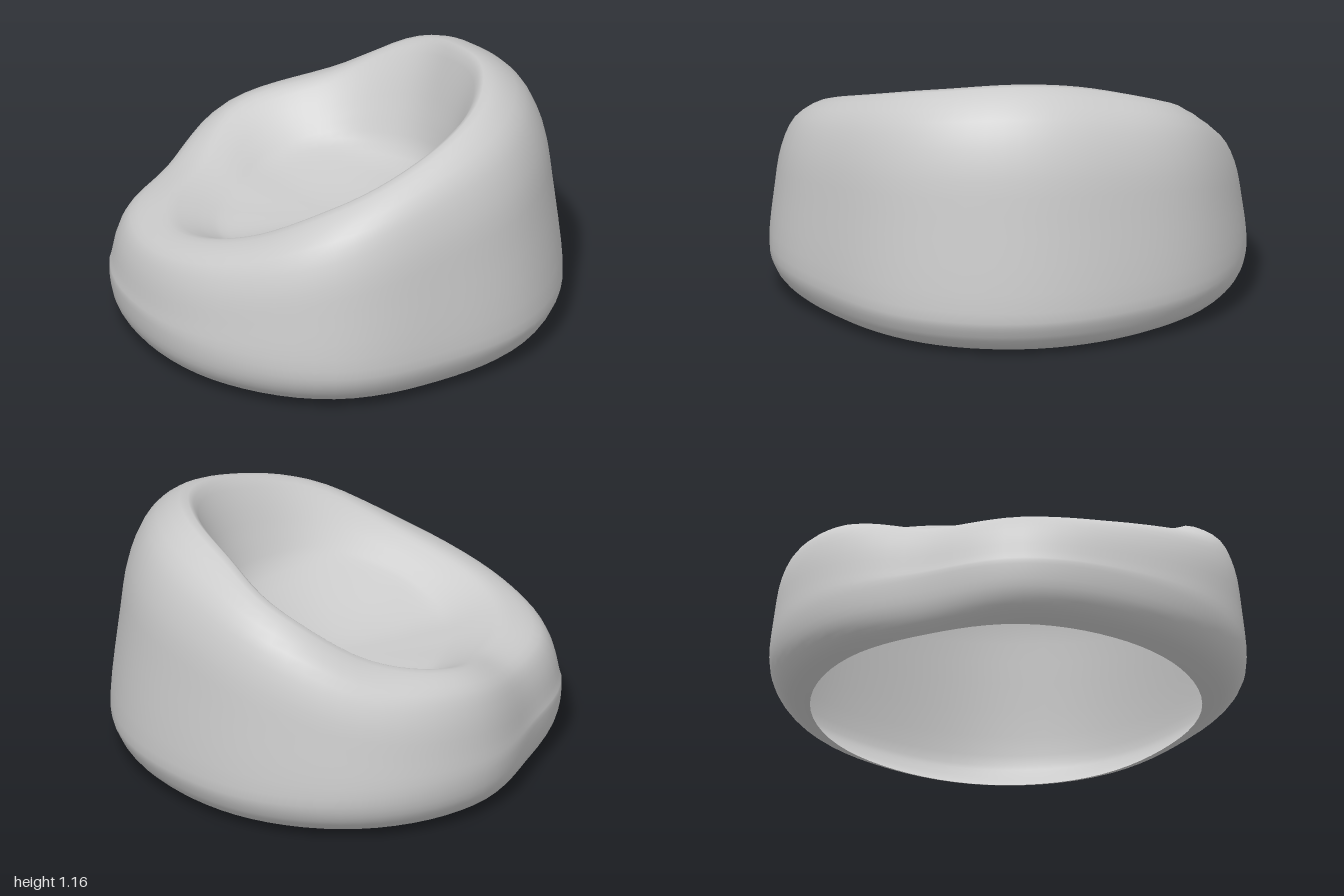
import * as THREE from 'three';

// One row every 30 degrees, from +x towards +z:
// outline radius, crest radius, crest height, seat edge radius, seat edge height
const SECTIONS = [
  [0.99, 0.66, 1.11, 0.46, 0.58],
  [1.01, 0.67, 1.165, 0.46, 0.63],
  [1.02, 0.71, 1.13, 0.46, 0.66],
  [0.995, 0.74, 1.03, 0.47, 0.65],
  [1.06, 0.80, 0.89, 0.52, 0.63],
  [1.03, 0.79, 0.69, 0.54, 0.56],
  [0.99, 0.79, 0.57, 0.51, 0.47],
  [0.975, 0.73, 0.54, 0.45, 0.47],
  [0.895, 0.67, 0.55, 0.42, 0.48],
  [0.985, 0.79, 0.655, 0.49, 0.49],
  [1.03, 0.76, 0.76, 0.52, 0.52],
  [1.02, 0.76, 0.98, 0.47, 0.54],
];
const SEAT_CENTRE = 0.46;
const SEAT_TILT = 0.08;
const AROUND = 72;
const ALONG = 44;

// Smooth closed interpolation of the section table
function sectionAt(t) {
  const n = SECTIONS.length, f = t * n, i = Math.floor(f), u = f - i;
  const row = (k) => SECTIONS[(i + k + n) % n];
  return SECTIONS[0].map((_, c) => {
    const [a, b, d, e] = [row(-1)[c], row(0)[c], row(1)[c], row(2)[c]];
    return b + 0.5 * u * (d - a + u * (2 * a - 5 * b + 4 * d - e + u * (3 * (b - d) + e - a)));
  });
}

// Section from the open base, over the crest and down to the middle of the seat
function profileAt(t) {
  const [R, rc, h, rs, ys] = sectionAt(t);
  const d = R - rc;
  const base = 0.42 + 0.42 * R;
  const lean = THREE.MathUtils.clamp((h - 0.55) / 0.6, 0, 1);
  const inner = (a, b) => [rc + (rs - rc) * a, h + (ys - h) * b];
  // Seat floor: a shallow bowl on a plane rising towards the back
  const rise = SEAT_TILT * rs * Math.cos(t * Math.PI * 2 - Math.PI / 4);
  const floor = (k) => [rs * k, SEAT_CENTRE + rise * k + (ys - SEAT_CENTRE - rise) * k * k];
  const points = [
    [base, 0], [base + (R - base) * 0.54, 0.045], [base + (R - base) * 0.88, 0.12], [R, 0.23],
    [R - (0.04 + 0.08 * lean) * d, 0.52 * h], [R - (0.16 + 0.08 * lean) * d, 0.75 * h],
    [R - (0.42 + 0.1 * lean) * d, 0.92 * h], [rc, h],
    inner(0.33, 0.22), inner(0.68, 0.66), floor(1), floor(0.6), floor(0.25), floor(0),
  ];
  return new THREE.SplineCurve(points.map(([r, y]) => new THREE.Vector2(r, y)));
}

function bagGeometry() {
  const positions = [], index = [];
  for (let j = 0; j < AROUND; j++) {
    const angle = (j / AROUND) * Math.PI * 2;
    const profile = profileAt(j / AROUND);
    for (let i = 0; i < ALONG; i++) {
      const p = profile.getPoint(i / ALONG);
      positions.push(p.x * Math.cos(angle), Math.max(0, p.y), p.x * Math.sin(angle));
    }
  }
  // Single vertex closes the middle of the seat
  const centre = AROUND * ALONG;
  positions.push(0, SEAT_CENTRE, 0);
  const id = (j, i) => (i === ALONG ? centre : (j % AROUND) * ALONG + i);
  for (let j = 0; j < AROUND; j++) {
    for (let i = 0; i < ALONG; i++) {
      index.push(id(j, i), id(j, i + 1), id(j + 1, i));
      if (i < ALONG - 1) index.push(id(j, i + 1), id(j + 1, i + 1), id(j + 1, i));
    }
  }
  const geometry = new THREE.BufferGeometry();
  geometry.setAttribute('position', new THREE.Float32BufferAttribute(positions, 3));
  geometry.setIndex(index);
  geometry.computeVertexNormals();
  return geometry;
}

export function createModel() {
  const group = new THREE.Group();
  group.name = 'beanBagChair';
  const material = new THREE.MeshStandardMaterial({ color: 0xcccccc, side: THREE.DoubleSide });
  const bag = new THREE.Mesh(bagGeometry(), material);
  bag.name = 'cushionShell';
  group.add(bag);
  return group;
}
